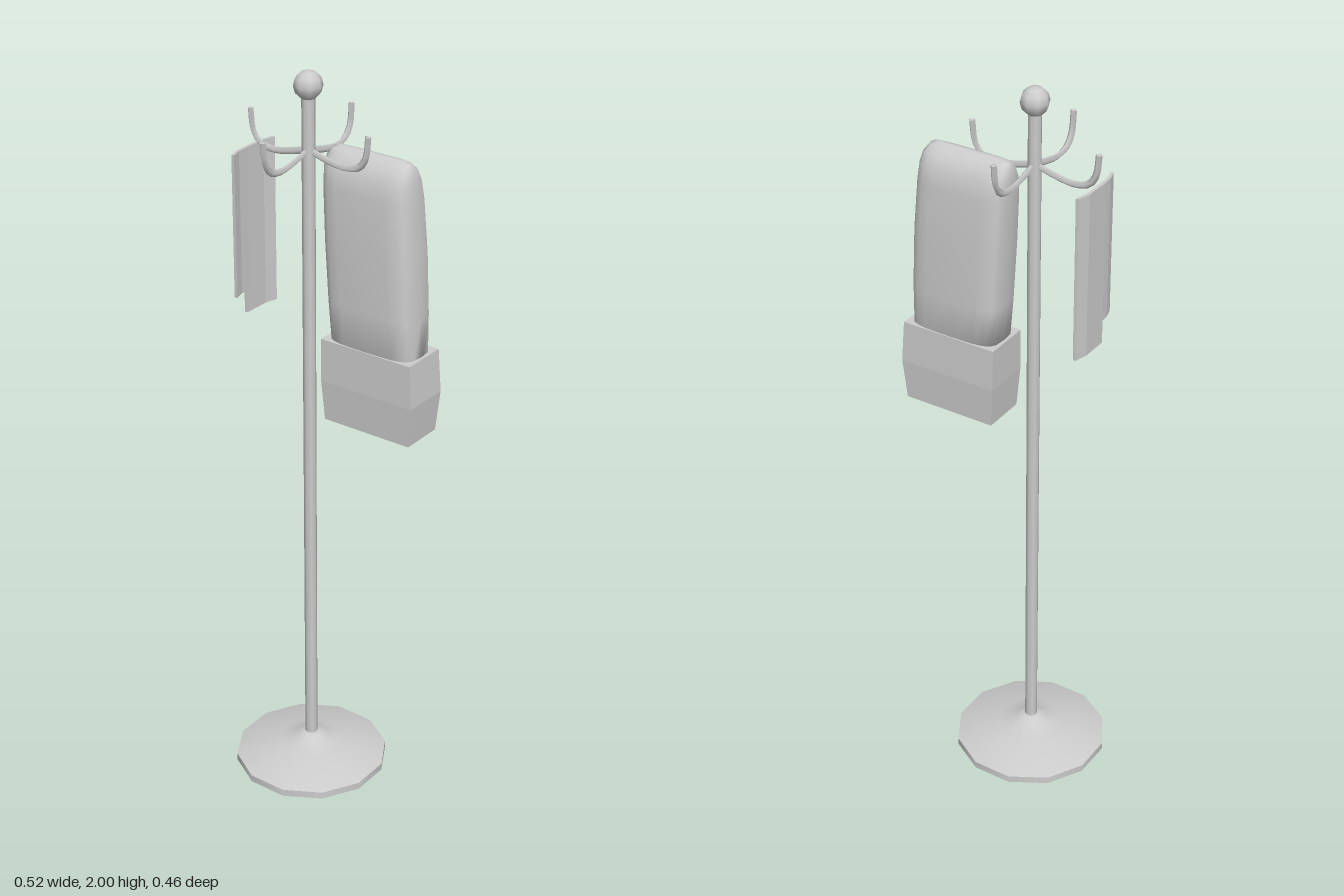
import * as THREE from 'three';

const metal = new THREE.MeshStandardMaterial({ color: 0xcccccc, side: THREE.DoubleSide });
metal.name = 'lightGrey';

function part(parent, name, geometry) {
  const mesh = new THREE.Mesh(geometry, metal);
  mesh.name = name;
  parent.add(mesh);
  return mesh;
}

// Closed loft through superellipse rings; each row is [y, xMin, xMax, halfDepth].
function loft(rows, sides, power, turn, zCentre, flat) {
  const pos = [], index = [];
  const shape = (v) => Math.sign(v) * Math.pow(Math.abs(v), power);
  for (const [y, x0, x1, d] of rows) {
    for (let j = 0; j < sides; j++) {
      const t = turn + (j / sides) * Math.PI * 2;
      pos.push((x0 + x1) / 2 + shape(Math.cos(t)) * (x1 - x0) / 2, y, zCentre + shape(Math.sin(t)) * d);
    }
  }
  const last = rows.length - 1;
  for (let i = 0; i < last; i++) {
    for (let j = 0; j < sides; j++) {
      const a = i * sides + j, b = i * sides + (j + 1) % sides;
      index.push(a, a + sides, b, b, a + sides, b + sides);
    }
  }
  for (let j = 1; j < sides - 1; j++) {
    index.push(0, j, j + 1);
    index.push(last * sides, last * sides + j + 1, last * sides + j);
  }
  let g = new THREE.BufferGeometry();
  g.setAttribute('position', new THREE.Float32BufferAttribute(pos, 3));
  g.setIndex(index);
  if (flat) g = g.toNonIndexed();
  g.computeVertexNormals();
  return g;
}

// Thin hanging cloth following a path of [x, z] points in plan.
function cloth(path, bottom, top) {
  const t = 0.003;
  const s = new THREE.Shape();
  path.forEach(([x, z], i) => (i ? s.lineTo(x + t, -z - t) : s.moveTo(x + t, -z - t)));
  [...path].reverse().forEach(([x, z]) => s.lineTo(x - t, -z + t));
  const g = new THREE.ExtrudeGeometry(s, { depth: top - bottom, bevelEnabled: false });
  return g.rotateX(-Math.PI / 2).translate(0, bottom, 0);
}

export function createModel() {
  const model = new THREE.Group();
  model.name = 'coatStand';
  const stand = new THREE.Group();
  stand.name = 'stand';
  stand.position.set(-0.05, 0, -0.017);
  model.add(stand);

  // Twelve-sided foot with a sloping top
  part(stand, 'footRim', new THREE.CylinderGeometry(0.21, 0.21, 0.02, 12)).position.y = 0.01;
  const profile = [[0.21, 0.02], [0.15, 0.041], [0.09, 0.055], [0.048, 0.064], [0.035, 0.078], [0.017, 0.082]];
  part(stand, 'footTop', new THREE.LatheGeometry(profile.map(([r, y]) => new THREE.Vector2(r, y)), 12));

  // Pole and round finial
  part(stand, 'pole', new THREE.CylinderGeometry(0.017, 0.017, 1.88, 8)).position.y = 1.01;
  part(stand, 'finial', new THREE.SphereGeometry(0.037, 8, 6)).position.y = 1.963;

  // Four upturned hooks on the diagonals
  const hookPath = new THREE.CatmullRomCurve3(
    [[0.01, 1.797], [0.06, 1.784], [0.11, 1.777], [0.15, 1.787], [0.17, 1.815], [0.177, 1.87]]
      .map(([r, y]) => new THREE.Vector3(r, y, 0)));
  for (let i = 0; i < 4; i++) {
    const hook = new THREE.Group();
    hook.name = 'hook' + (i + 1);
    hook.rotation.y = Math.PI / 4 + i * Math.PI / 2;
    part(hook, 'hookArm', new THREE.TubeGeometry(hookPath, 12, 0.009, 4));
    const tip = part(hook, 'hookTip', new THREE.CircleGeometry(0.009, 4));
    tip.rotation.x = -Math.PI / 2;
    tip.position.set(0.177, 1.87, 0);
    stand.add(hook);
  }

  // Hanging garment with a rounded top and a boxy lower end
  const garment = new THREE.Group();
  garment.name = 'garment';
  garment.rotation.y = -Math.PI / 4;
  stand.add(garment);
  part(garment, 'garmentBody', loft([
    [1.29, 0.06, 0.312, 0.06], [1.42, 0.05, 0.31, 0.064], [1.58, 0.04, 0.302, 0.065],
    [1.72, 0.033, 0.29, 0.061], [1.765, 0.032, 0.285, 0.052], [1.792, 0.035, 0.279, 0.038],
    [1.808, 0.042, 0.268, 0.02], [1.815, 0.06, 0.25, 0.006],
  ], 20, 0.5, 0, -0.045, false));
  part(garment, 'garmentHem', loft([
    [1.09, 0.06, 0.318, 0.06], [1.2, 0.052, 0.328, 0.066], [1.315, 0.05, 0.32, 0.064],
  ], 4, 0.001, Math.PI / 4, -0.045, true));

  // Folded cloth on the opposite hook, in two overlapping falls
  part(model, 'clothShortFall', cloth([[-0.23, -0.06], [-0.215, -0.088], [-0.19, -0.115]], 1.4, 1.78));
  part(model, 'clothLongFall', cloth([[-0.2, -0.106], [-0.17, -0.135], [-0.147, -0.158], [-0.116, -0.176]], 1.338, 1.78));

  return model;
}
